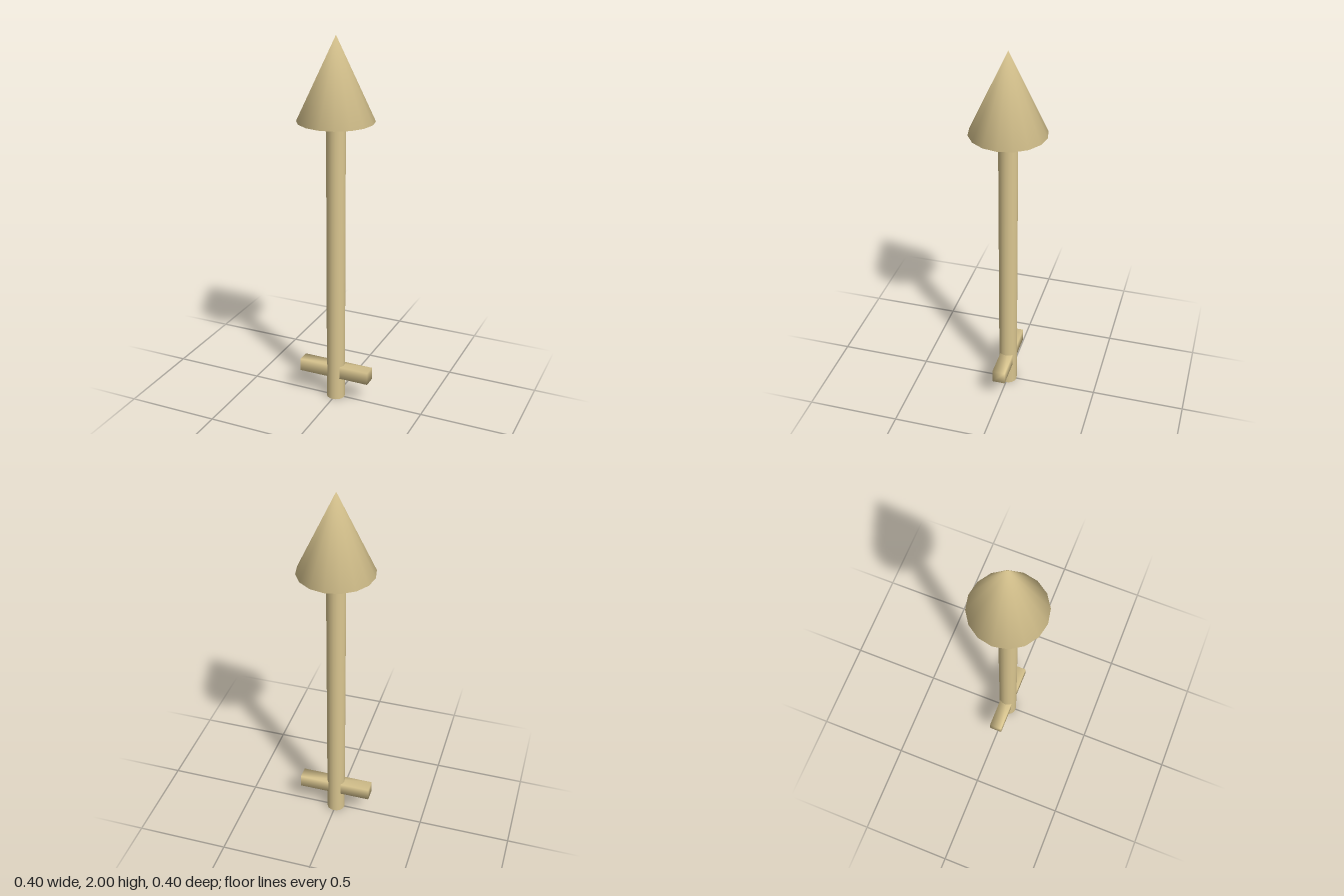
import * as THREE from 'three';
import { mergeVertices } from 'three/addons/utils/BufferGeometryUtils.js';

// Share vertices across every edge so the shading is smooth all over
function smooth(geometry) {
  geometry.deleteAttribute('uv');
  geometry.deleteAttribute('normal');
  const merged = mergeVertices(geometry, 1e-4);
  merged.computeVertexNormals();
  return merged;
}

export function createModel() {
  const group = new THREE.Group();
  group.name = 'arrow';
  const wood = new THREE.MeshStandardMaterial({ color: 0xdac690 });
  wood.name = 'pale wood';

  function add(name, geometry, y) {
    const mesh = new THREE.Mesh(smooth(geometry), wood);
    mesh.name = name;
    mesh.position.y = y;
    group.add(mesh);
  }

  // Pointed head with a closed base
  add('head', new THREE.ConeGeometry(0.2, 0.43, 16), 1.785);
  // Long round shaft
  add('shaft', new THREE.CylinderGeometry(0.05, 0.05, 1.57, 16), 0.785);
  // Square bar crossing the shaft near its foot
  add('crossbar', new THREE.BoxGeometry(0.4, 0.07, 0.07), 0.163);

  return group;
}
